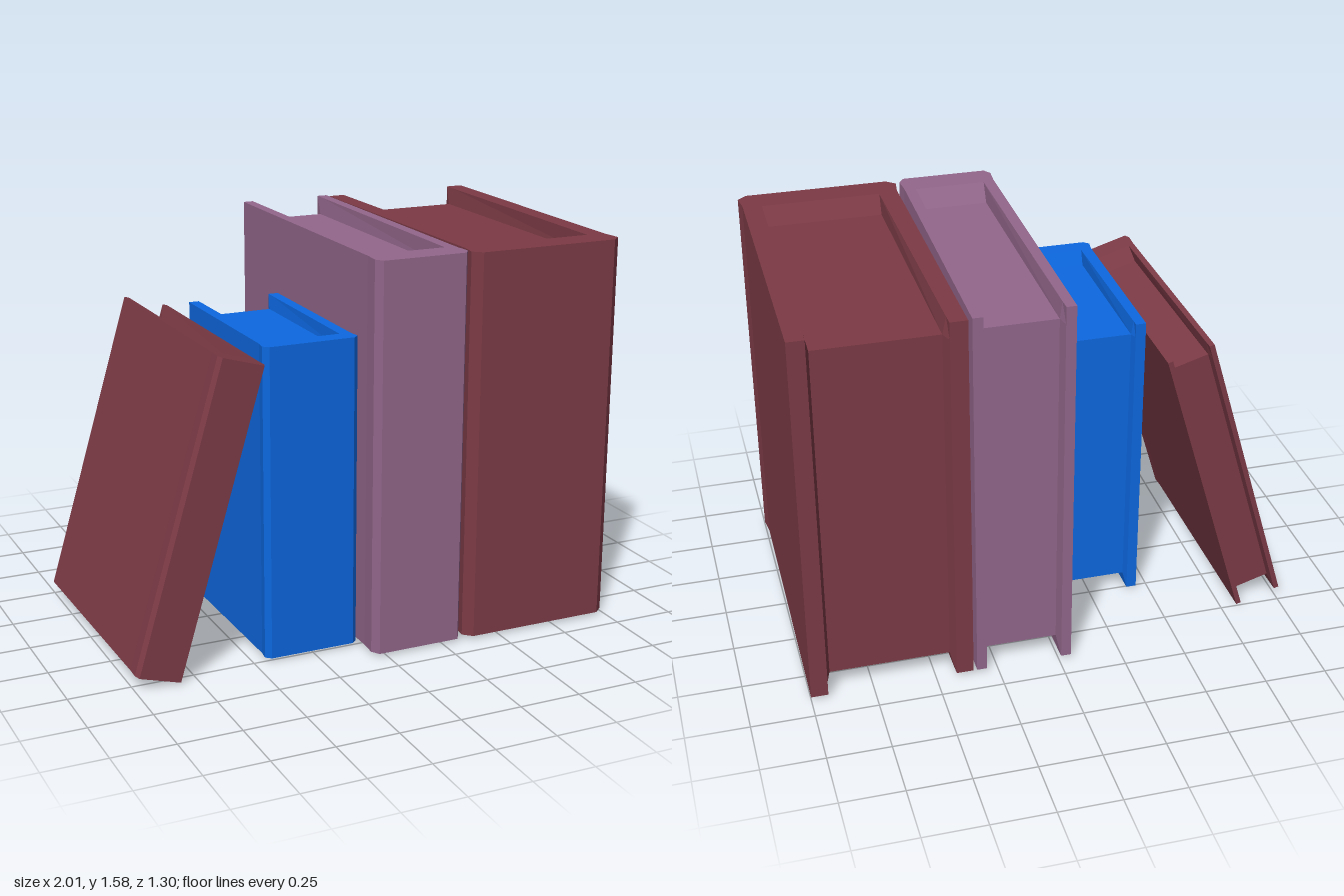
import * as THREE from 'three';

const RECESS = 0.045; // depth of the page block below the cover edge, per unit height

// Half cross-section of the cover in a unit square: [x, z at the rim, x, z at page level]
const OUTER = [[0.5, -0.5], [0.485, 0.42], [0.5, 0.475], [0.445, 0.5]];
const INNER = [
  { rim: [0.368, 0.408], floor: [0.363, 0.37] },
  { rim: [0.393, -0.462], floor: [0.37, -0.462] },
  { rim: [0.395, -0.5], floor: [0.395, -0.5] },
];

// Unit cover: U-shaped extrusion whose inner walls slope down to the pages
function coverGeometry() {
  const half = [...OUTER];
  const inner = INNER.map((p) => p.rim);
  const right = [...inner, ...half];
  const left = right.map(([x, z]) => [-x, z]).reverse();
  const shape = new THREE.Shape([...right, ...left].map(([x, z]) => new THREE.Vector2(x, -z)));
  const geometry = new THREE.ExtrudeGeometry(shape, { depth: 1, steps: 3, bevelEnabled: false });
  geometry.rotateX(-Math.PI / 2);

  const levels = [0, RECESS, 1 - RECESS, 1];
  const pos = geometry.attributes.position;
  for (let i = 0; i < pos.count; i++) {
    const level = Math.round(pos.getY(i) * 3);
    const x = pos.getX(i), z = pos.getZ(i);
    pos.setY(i, levels[level]);
    if (level === 0 || level === 3) continue;
    const hit = INNER.find(({ rim }) =>
      Math.abs(Math.abs(x) - rim[0]) < 1e-4 && Math.abs(z - rim[1]) < 1e-4);
    if (hit) {
      pos.setX(i, Math.sign(x) * hit.floor[0]);
      pos.setZ(i, hit.floor[1]);
    }
  }
  geometry.computeVertexNormals();
  return geometry;
}

// Unit page block, set in from the cover at top, bottom and back
function pagesGeometry() {
  const back = -0.462, front = 0.39;
  return new THREE.BoxGeometry(0.76, 1 - 2 * RECESS, front - back)
    .translate(0, 0.5, (front + back) / 2);
}

const BOOKS = [
  { name: 'wideRedBook', color: 0x7d3b46, size: [0.65, 1.56, 1.3], at: [0.675, 0.015, 0] },
  { name: 'purpleBook', color: 0x93678b, size: [0.387, 1.565, 1.297], at: [0.142, 0.015, -0.002] },
  { name: 'blueBook', color: 0x0d68e0, size: [0.39, 1.25, 0.78], at: [-0.255, 0.015, 0.12] },
  {
    name: 'leaningRedBook', color: 0x7d3b46, size: [0.193, 1.252, 1.04],
    at: [-0.907, 0.031, 0.03], lean: -0.288, turn: 0.012,
  },
];

export function createModel() {
  const model = new THREE.Group();
  model.name = 'rowOfBooks';
  const cover = coverGeometry();
  const pages = pagesGeometry();

  for (const { name, color, size, at, lean = 0, turn = 0 } of BOOKS) {
    const book = new THREE.Group();
    book.name = name;
    const material = new THREE.MeshStandardMaterial({ color, flatShading: true });
    for (const [part, geometry] of [['cover', cover], ['pages', pages]]) {
      const mesh = new THREE.Mesh(geometry, material);
      mesh.name = part;
      mesh.scale.set(...size);
      book.add(mesh);
    }
    book.position.set(...at);
    book.rotation.set(0, turn, lean);
    model.add(book);
  }
  return model;
}
